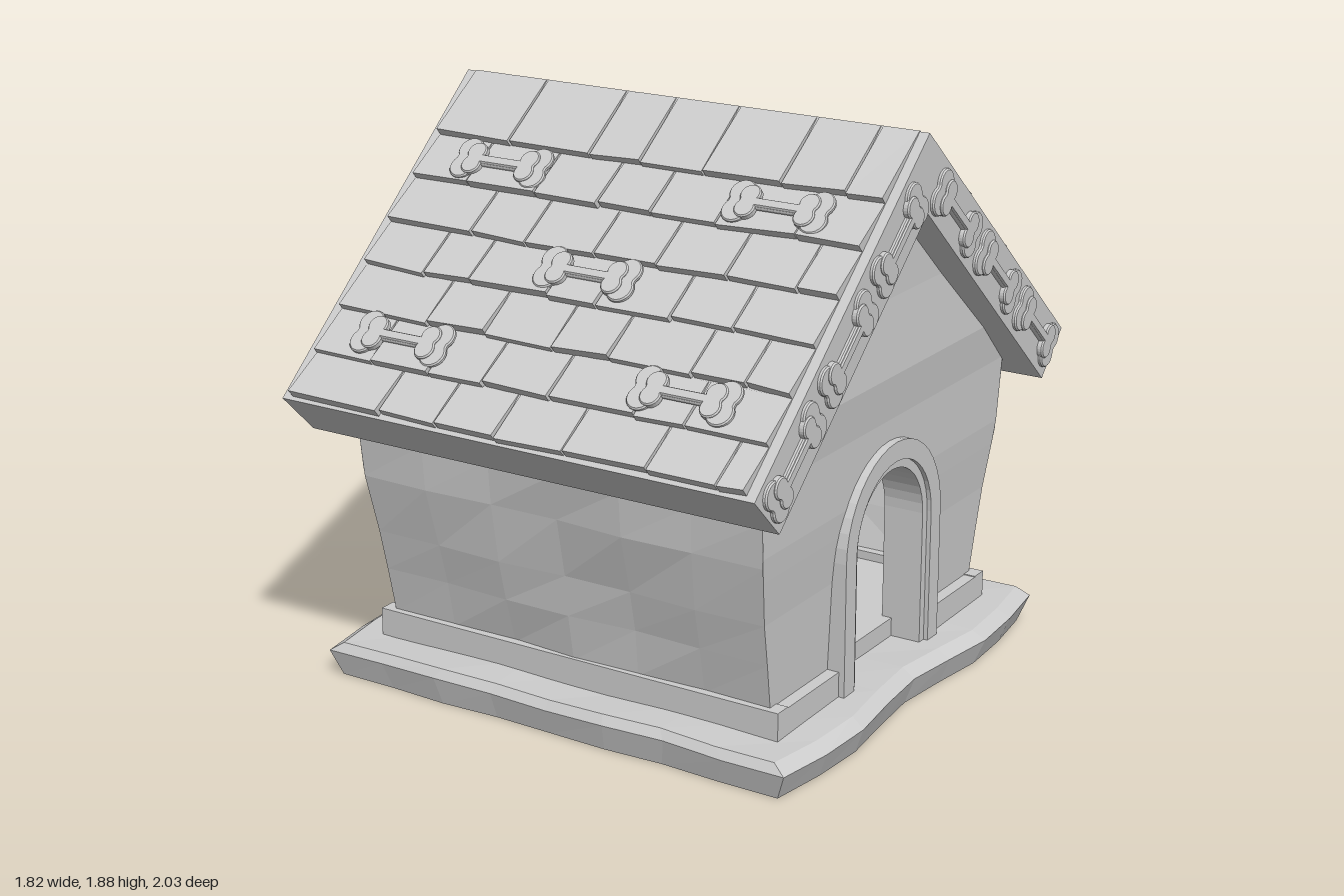
import * as THREE from 'three';

const stone = new THREE.MeshStandardMaterial({ color: 0xcccccc, flatShading: true, side: THREE.DoubleSide });
stone.name = 'pale grey';

const APEX = 1.88, SLOPE = 0.87, ANGLE = Math.atan(SLOPE), COS = Math.cos(ANGLE);
const ROOF_X = 0.865;

let seed = 7;
const rand = () => (seed = (seed * 16807) % 2147483647) / 2147483647;
const jitter = (a) => (rand() - 0.5) * 2 * a;

function add(parent, name, geometry, x = 0, y = 0, z = 0) {
  const mesh = new THREE.Mesh(geometry, stone);
  mesh.name = name;
  mesh.position.set(x, y, z);
  parent.add(mesh);
  return mesh;
}

function group(parent, name) {
  const g = new THREE.Group();
  g.name = name;
  parent.add(g);
  return g;
}

// Move every vertex of a geometry by a rule
function warp(geometry, rule) {
  const p = geometry.attributes.position, v = new THREE.Vector3();
  for (let i = 0; i < p.count; i++) {
    rule(v.fromBufferAttribute(p, i));
    p.setXYZ(i, v.x, v.y, v.z);
  }
  geometry.computeVertexNormals();
  return geometry;
}

// Piecewise linear lookup in [y, value] pairs
function lookup(pairs, y) {
  for (let i = 1; i < pairs.length; i++) {
    const [y0, a] = pairs[i - 1], [y1, b] = pairs[i];
    if (y <= y1) return a + (b - a) * Math.max(0, (y - y0) / (y1 - y0));
  }
  return pairs[pairs.length - 1][1];
}
const halfLength = (y) => lookup([[0.12, 0.715], [0.5, 0.73], [0.72, 0.75], [0.95, 0.755], [1.1, 0.77], [1.35, 0.755], [1.68, 0.75]], y);
const halfDepth = (y) => Math.min(
  lookup([[0.12, 0.645], [0.2, 0.655], [0.36, 0.685], [0.7, 0.755], [0.95, 0.78]], y), (1.68 - y) / SLOPE);
const doorHalf = (y) => (y <= 0.57 ? 0.28 : Math.sqrt(Math.max(0, 0.28 ** 2 - (y - 0.57) ** 2)));

// Wall panel: rows at given heights, columns between two edges
function panel(levels, columns, left, right, depth) {
  const rows = levels.length - 1;
  return warp(new THREE.PlaneGeometry(1, 1, columns, rows), (v) => {
    const u = v.x + 0.5, y = levels[Math.round((v.y + 0.5) * rows)];
    v.set(left(y) + (right(y) - left(y)) * u, y, depth(y, u));
  });
}

// Bone outline from four knobs
function boneShape(k) {
  const s = new THREE.Shape(), d = Math.PI / 180;
  const knob = (x, y, a, b) => s.absarc(x * k, y * k, 0.042 * k, a * d, b * d, true);
  knob(0.14, 0.034, 205, -40);
  knob(0.14, -0.034, 40, -205);
  knob(-0.14, -0.034, 25, -220);
  knob(-0.14, 0.034, 220, -25);
  s.closePath();
  return s;
}
const bevel = { bevelEnabled: true, bevelThickness: 0.005, bevelSize: 0.004, bevelSegments: 1, curveSegments: 8 };
const boneOuter = new THREE.ExtrudeGeometry(boneShape(0.98), { depth: 0.008, ...bevel });
const boneInner = new THREE.ExtrudeGeometry(boneShape(0.74), { depth: 0.015, ...bevel });
function bone(parent, x, y, z) {
  const g = group(parent, 'bone');
  add(g, 'boneRim', boneOuter);
  add(g, 'boneCore', boneInner);
  g.position.set(x, y, z);
  return g;
}

// Arched band, open at the bottom
function archBand(outer, inner, depth) {
  const s = new THREE.Shape();
  s.moveTo(-outer, 0.11).lineTo(-outer, 0.57);
  s.absarc(0, 0.57, outer, Math.PI, 0, true);
  s.lineTo(outer, 0.11).lineTo(inner, 0.11).lineTo(inner, 0.57);
  s.absarc(0, 0.57, inner, 0, Math.PI, false);
  s.lineTo(-inner, 0.11).closePath();
  return new THREE.ExtrudeGeometry(s, { depth, bevelEnabled: false, curveSegments: 10 });
}

function addBase(model) {
  // Wavy slab, widest just below its top edge
  add(model, 'baseSlab', warp(new THREE.BoxGeometry(2, 2, 2, 8, 2, 8), (v) => {
    const level = Math.round(v.y) + 1;
    const hx = [0.83, 0.865, 0.82][level] + 0.045 * Math.sin(Math.PI * v.z * 0.9) ** 2;
    const hz = [0.8, 0.825, 0.805][level] + 0.006 * Math.sin(v.x * 9);
    const y = [0, 0.09, 0.12][level] + (level ? 0.004 * Math.sin(v.x * 7 + v.z * 5) : 0);
    v.set(v.x * hx, y, v.z * hz);
  }));
  // Plinth strips, leaving a gap for the doorway
  for (const s of [1, -1]) {
    add(model, 'plinthLong', new THREE.BoxGeometry(1.52, 0.1, 0.06), 0, 0.16, s * 0.65);
    add(model, 'plinthDoorSide', new THREE.BoxGeometry(0.06, 0.1, 0.37), 0.73, 0.157, s * 0.485);
  }
  add(model, 'plinthBack', new THREE.BoxGeometry(0.06, 0.1, 1.3), -0.73, 0.157, 0);
  add(model, 'innerFloor', new THREE.BoxGeometry(1.36, 0.07, 1.26), -0.02, 0.145, 0);
}

function addWalls(model) {
  const sideLevels = [0.12, 0.2, 0.36, 0.5, 0.7, 0.85, 0.97];
  const endLevels = [0.12, 0.2, 0.36, 0.5, 0.57, 0.65, 0.73, 0.8, 0.85, 0.95, 1.1, 1.35, 1.68];
  for (const s of [1, -1]) {
    const side = add(model, 'sideWall', panel(sideLevels, 6, (y) => -halfLength(y), halfLength,
      (y, u) => halfDepth(y) + 0.012 * Math.sin(Math.PI * u) * Math.sin(u * 11 + y * 9)));
    side.rotation.y = s > 0 ? 0 : Math.PI;

    const end = group(model, s > 0 ? 'doorEnd' : 'backEnd');
    end.rotation.y = s * Math.PI / 2;
    const gap = s > 0 ? doorHalf : () => 0;
    add(end, 'gableHalf', panel(endLevels, 2, gap, halfDepth, halfLength));
    add(end, 'gableHalf', panel(endLevels, 2, (y) => -halfDepth(y), (y) => -gap(y), halfLength));
    if (s > 0) {
      add(end, 'doorFrame', archBand(0.31, 0.245, 0.1), 0, 0, 0.68);
      add(end, 'doorLining', archBand(0.25, 0.215, 0.14), 0, 0, 0.625);
    }
    // Bones along the gable edges of the roof
    for (const m of [1, -1]) {
      for (const [u, y] of [[0.185, 1.59], [0.485, 1.33], [0.785, 1.07]]) {
        bone(end, m * u, y, ROOF_X).rotation.z = -m * ANGLE;
      }
    }
  }
}

function addShingles(slope) {
  const rows = [0, 0.205, 0.34, 0.475, 0.605, 0.735, 0.862, 0.988];
  for (let r = 0; r < 7; r++) {
    const top = rows[r] / COS, bottom = rows[r + 1] / COS;
    const cuts = [-0.835];
    for (let x = r % 2 ? -0.62 : -0.5; x < 0.72; x += 0.24) cuts.push(x + jitter(0.04));
    cuts.push(0.835);
    for (let i = 1; i < cuts.length; i++) {
      const a = cuts[i - 1] + 0.004, b = cuts[i] - 0.004;
      const drop = [jitter(0.007), jitter(0.007)], thick = 0.024 + rand() * 0.01;
      // Wedge: thin at the top, thick at the lower edge
      add(slope, 'shingle', warp(new THREE.BoxGeometry(1, 1, 1), (v) => {
        const low = v.z > 0;
        v.set(v.x < 0 ? a : b, v.y < 0 ? -0.01 : low ? thick : 0.003,
          low ? bottom + drop[v.x < 0 ? 0 : 1] : top);
      }));
    }
  }
}

function addRoof(model) {
  // Chevron slab running the length of the house
  const s = new THREE.Shape();
  s.moveTo(0, APEX).lineTo(-1, 1.01).lineTo(-0.86, 0.87).lineTo(0, 1.63).lineTo(0.86, 0.87).lineTo(1, 1.01).closePath();
  const slab = add(model, 'roofSlab',
    new THREE.ExtrudeGeometry(s, { depth: ROOF_X * 2, bevelEnabled: false }), -ROOF_X, 0, 0);
  slab.rotation.y = Math.PI / 2;

  for (const side of [0, 1]) {
    const half = group(model, side ? 'roofBack' : 'roofFront');
    half.rotation.y = side * Math.PI;
    const slope = group(half, 'roofSlope');
    slope.position.y = APEX;
    slope.rotation.x = ANGLE;
    addShingles(slope);
    const m = side ? -1 : 1;
    for (const [x, z] of [[-0.52, 0.28], [0.51, 0.28], [-0.01, 0.54], [-0.53, 0.8], [0.51, 0.8]]) {
      bone(slope, x * m, 0.022, z / COS - 0.01).rotation.x = -Math.PI / 2;
    }
  }
}

export function createModel() {
  const model = new THREE.Group();
  model.name = 'kennel';
  addBase(model);
  addWalls(model);
  addRoof(model);
  return model;
}
